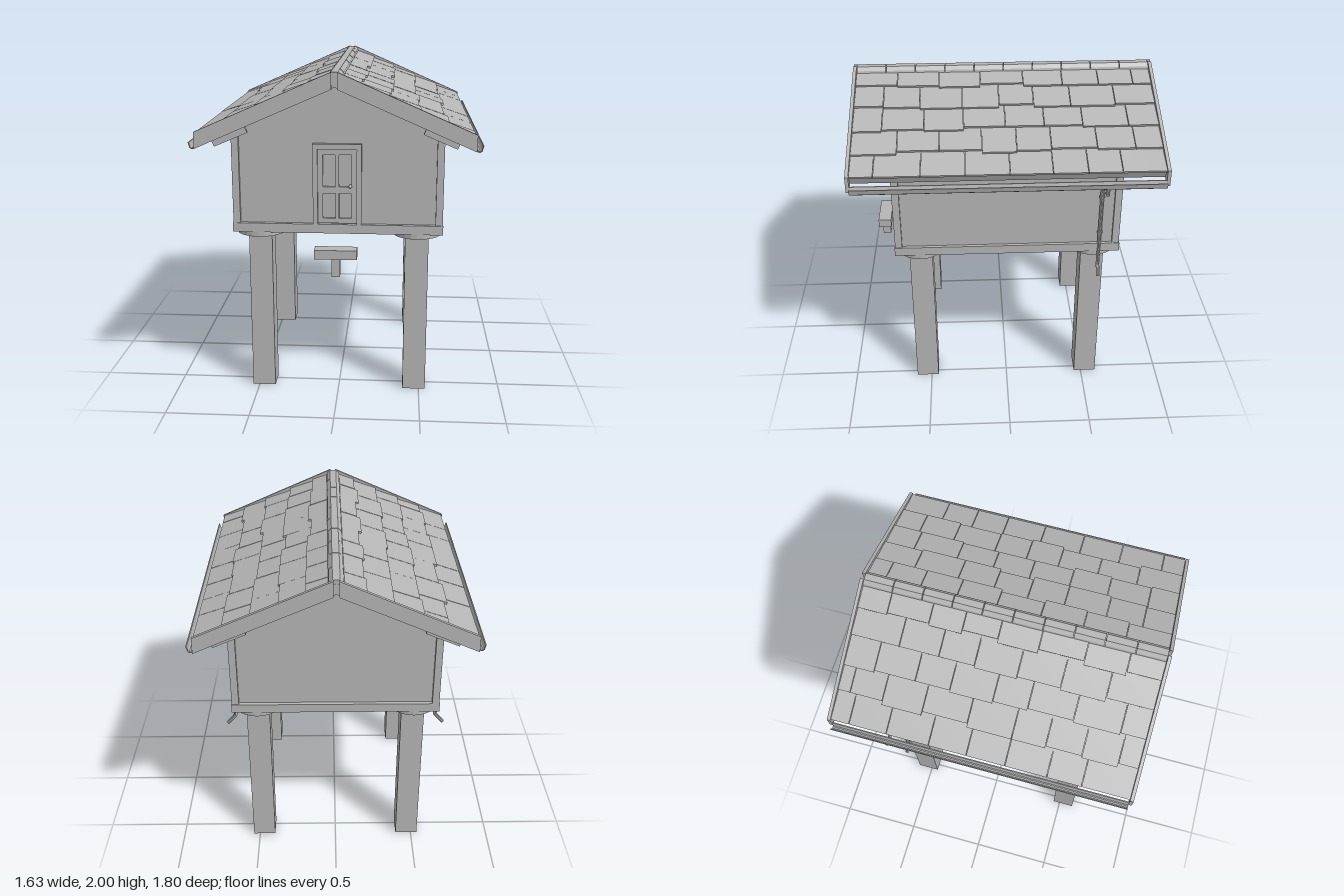
import * as THREE from 'three';

export function createModel() {
  const model = new THREE.Group();
  const gray = new THREE.MeshStandardMaterial({ color: 0xb6b6b6 });
  gray.name = 'plain gray';
  gray.flatShading = true;

  const add = (name, geo, parent = model) => {
    const mesh = new THREE.Mesh(geo, gray);
    mesh.name = name;
    parent.add(mesh);
    return mesh;
  };
  // Box given by its limits on each axis
  const box = (name, x0, x1, y0, y1, z0, z1, parent) => {
    const m = add(name, new THREE.BoxGeometry(x1 - x0, y1 - y0, z1 - z0), parent);
    m.position.set((x0 + x1) / 2, (y0 + y1) / 2, (z0 + z1) / 2);
    return m;
  };
  // Outline in x and y, pushed from z0 to z1
  const prism = (name, pts, z0, z1, holes = []) => {
    const shape = new THREE.Shape(pts.map(p => new THREE.Vector2(...p)));
    holes.forEach(h => shape.holes.push(new THREE.Path(h.map(p => new THREE.Vector2(...p)))));
    const m = add(name, new THREE.ExtrudeGeometry(shape, { depth: z1 - z0, bevelEnabled: false }));
    m.position.z = z0;
    return m;
  };
  const rect = (x0, x1, y0, y1) => [[x0, y0], [x1, y0], [x1, y1], [x0, y1]];
  // Round bar between two points
  const bar = (name, a, b, r) => {
    const p = new THREE.Vector3(...a), q = new THREE.Vector3(...b), d = q.clone().sub(p);
    const m = add(name, new THREE.CylinderGeometry(r, r, d.length(), 10));
    m.position.copy(p).add(q).multiplyScalar(0.5);
    m.quaternion.setFromUnitVectors(new THREE.Vector3(0, 1, 0), d.normalize());
  };
  let seed = 7;
  const rand = () => (seed = (seed * 16807) % 2147483647) / 2147483647;

  const SLOPE = 0.428, ANGLE = Math.atan(SLOPE), LEN = 0.78 / Math.cos(ANGLE);
  const roofY = x => 2 - SLOPE * Math.abs(x);

  // Legs with round caps, corner posts
  for (const x of [-1, 1]) for (const z of [-1, 1]) {
    const lx = 0.47 * x, lz = 0.525 * z;
    box('leg', lx - 0.07, lx + 0.07, 0, 1.01, lz - 0.07, lz + 0.07);
    add('legCap', new THREE.CylinderGeometry(0.147, 0.147, 0.03, 24)).position.set(lx, 1.015, lz);
    const px = 0.596 * x, pz = 0.65 * z;
    box('cornerPost', px - 0.021, px + 0.021, 1.08, 1.63, pz - 0.021, pz + 0.021);
  }

  // House body with gables, and the sill around its foot
  prism('houseBody', [[-0.6, 1.04], [0.6, 1.04], [0.6, roofY(0.6) - 0.075],
    [0, 1.925], [-0.6, roofY(0.6) - 0.075]], -0.65, 0.65);
  box('sill', -0.62, 0.62, 1.03, 1.085, -0.675, 0.675);

  // Door with sunken panels, its frame, handle and the gable hatch
  prism('doorFrame', [[-0.143, 1.087], [-0.115, 1.087], [-0.115, 1.535], [0.113, 1.535],
    [0.113, 1.087], [0.141, 1.087], [0.141, 1.565], [-0.143, 1.565]], 0.65, 0.68);
  prism('door', rect(-0.115, 0.113, 1.09, 1.535), 0.65, 0.664, [
    rect(-0.085, -0.012, 1.12, 1.27), rect(0.01, 0.083, 1.12, 1.27),
    rect(-0.085, -0.012, 1.31, 1.5), rect(0.01, 0.083, 1.31, 1.5)]);
  box('handlePlate', 0.07, 0.082, 1.28, 1.325, 0.662, 0.668);
  add('handleKnob', new THREE.SphereGeometry(0.01, 12, 8)).position.set(0.076, 1.315, 0.677);
  box('gableHatch', -0.058, 0.055, 1.72, 1.83, 0.645, 0.656);

  // Small step in front of the door
  box('stepTop', -0.125, 0.122, 0.915, 0.97, 0.737, 0.818);
  box('stepPost', -0.025, 0.023, 0.805, 0.915, 0.753, 0.803);

  // Roof slopes: u runs down the slope, local y is its normal
  for (const side of [1, -1]) {
    const turn = new THREE.Group(), slope = new THREE.Group();
    turn.name = side > 0 ? 'leftRoof' : 'rightRoof';
    turn.rotation.y = side > 0 ? 0 : Math.PI;
    turn.position.y = 2;
    slope.rotation.z = -ANGLE;
    turn.add(slope);
    model.add(turn);
    box('roofDeck', 0, LEN - 0.02, -0.078, -0.024, -0.88, 0.88, slope);

    // Five overlapping rows of uneven shingles
    for (let row = 0; row < 5; row++) {
      const end = 0.168 * (row + 1) + 0.003;
      let z = -0.88, width = 0.11 + 0.18 * rand();
      while (z < 0.879) {
        const z1 = 0.88 - (z + width) < 0.06 ? 0.88 : z + width;
        const low = end + (row < 4 ? (Math.floor(rand() * 3) - 1) * 0.011 : 0);
        const high = Math.max(0.01, end - 0.19), len = low - high;
        const tile = add('shingle', new THREE.BoxGeometry(len, 0.013, z1 - z - 0.003), slope);
        tile.position.set((low + high) / 2, -0.0195 + 0.002 * rand(), (z + z1) / 2);
        tile.rotation.z = 0.075;
        z = z1;
        width = 0.19 + 0.08 * rand();
      }
    }

    // Rafter tails under the eaves
    for (let i = -3; i <= 3; i++) {
      const z = i * 0.277;
      box('rafterTail', 0.585, 0.79, -0.124, -0.075, z - 0.012, z + 0.012, slope);
    }
  }

  // Ridge caps
  for (let i = 0; i < 10; i++) {
    const z = -0.88 + i * 0.176;
    prism('ridgeCap', [[-0.045, 1.96], [0.045, 1.96], [0.04, 1.978], [0.02, 1.998],
      [-0.02, 1.998], [-0.04, 1.978]], z + 0.002, z + 0.174);
  }

  for (const s of [-1, 1]) {
    // Barge boards at both gables
    for (const z of [-0.9, 0.88]) {
      prism('bargeBoard', [[0.016 * s, 2], [0.78 * s, 1.666], [0.78 * s, 1.572],
        [0.016 * s, 1.906]], z, z + 0.02);
    }

    // Gutter trough
    prism('gutter', [[0.77, 1.605], [0.778, 1.575], [0.787, 1.567], [0.8, 1.567], [0.809, 1.575],
      [0.817, 1.605], [0.811, 1.605], [0.804, 1.578], [0.798, 1.573], [0.789, 1.573],
      [0.783, 1.578], [0.776, 1.605]].map(([x, y]) => [x * s, y]), -0.88, 0.88);

    // Drain pipe with its brackets
    const z = -0.552;
    const path = [[0.793, 1.57], [0.793, 1.53], [0.617, 1.495], [0.613, 0.93], [0.662, 0.872]];
    for (let i = 0; i + 1 < path.length; i++) {
      const [a, b] = [path[i], path[i + 1]];
      bar('drainPipe', [a[0] * s, a[1], z], [b[0] * s, b[1], z], 0.011);
      if (i > 0) add('pipeElbow', new THREE.SphereGeometry(0.011, 10, 8)).position.set(a[0] * s, a[1], z);
    }
    for (const y of [1.41, 1.167]) {
      add('pipeBracket', new THREE.CylinderGeometry(0.016, 0.016, 0.014, 10)).position.set(0.615 * s, y, z);
    }
  }
  return model;
}
